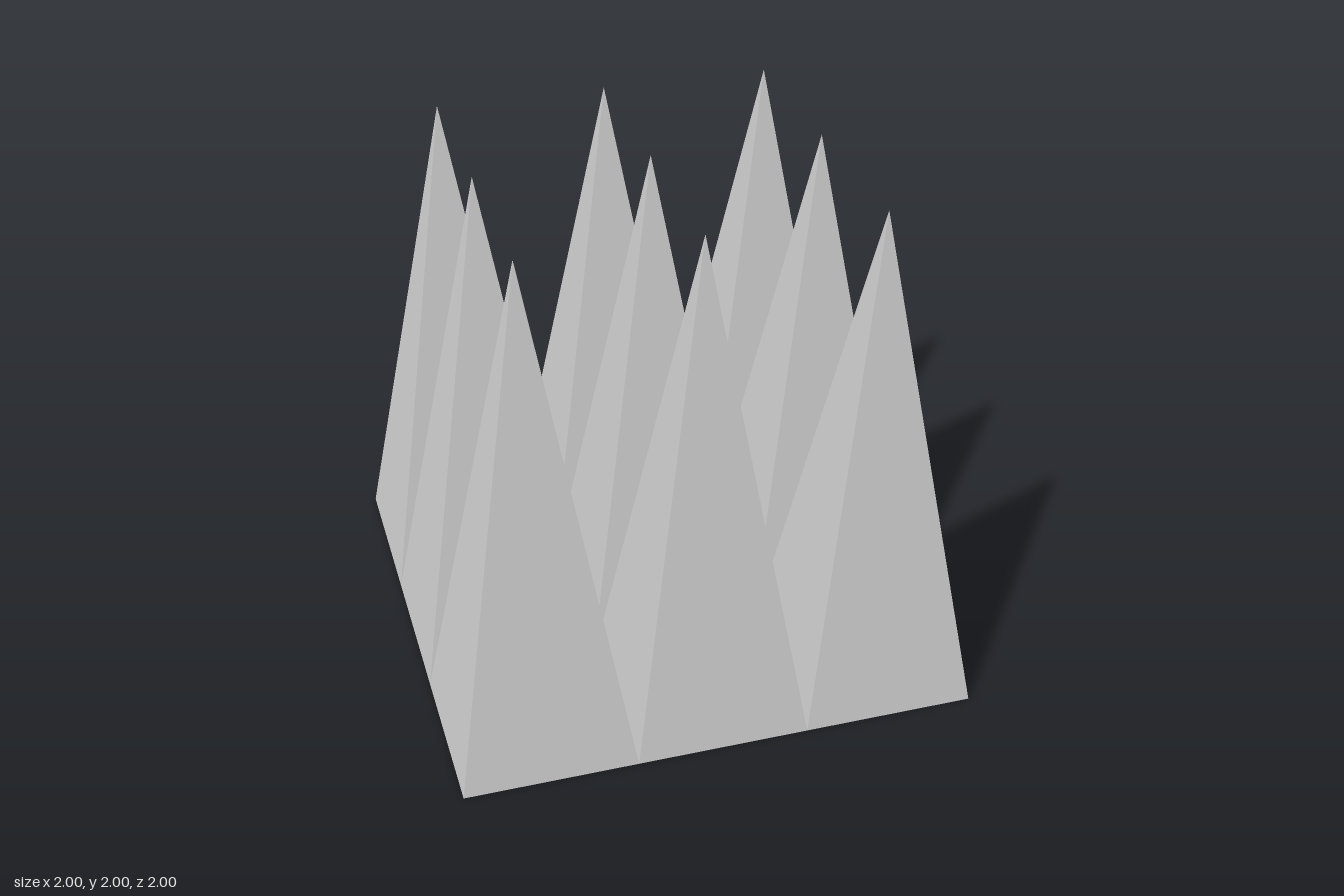
import * as THREE from 'three';

export function createModel() {
  const count = 3, size = 2, height = 2;
  const cell = size / count;
  const material = new THREE.MeshStandardMaterial({ color: 0xcccccc, flatShading: true });
  const model = new THREE.Group();
  model.name = 'pyramidGrid';

  // One square pyramid without a bottom, its sides turned to face the axes
  const pyramid = new THREE.ConeGeometry(cell / Math.SQRT2, height, 4, 1, true);
  pyramid.rotateY(Math.PI / 4).translate(0, height / 2, 0);

  // Pyramids set edge to edge in rows and columns
  for (let row = 0; row < count; row++) {
    for (let column = 0; column < count; column++) {
      const mesh = new THREE.Mesh(pyramid, material);
      mesh.name = `pyramid row ${row + 1} column ${column + 1}`;
      mesh.position.set((column + 0.5) * cell - size / 2, 0, (row + 0.5) * cell - size / 2);
      model.add(mesh);
    }
  }

  // Flat square underside, facing down
  const base = new THREE.Mesh(new THREE.PlaneGeometry(size, size).rotateX(Math.PI / 2), material);
  base.name = 'base';
  model.add(base);

  return model;
}
